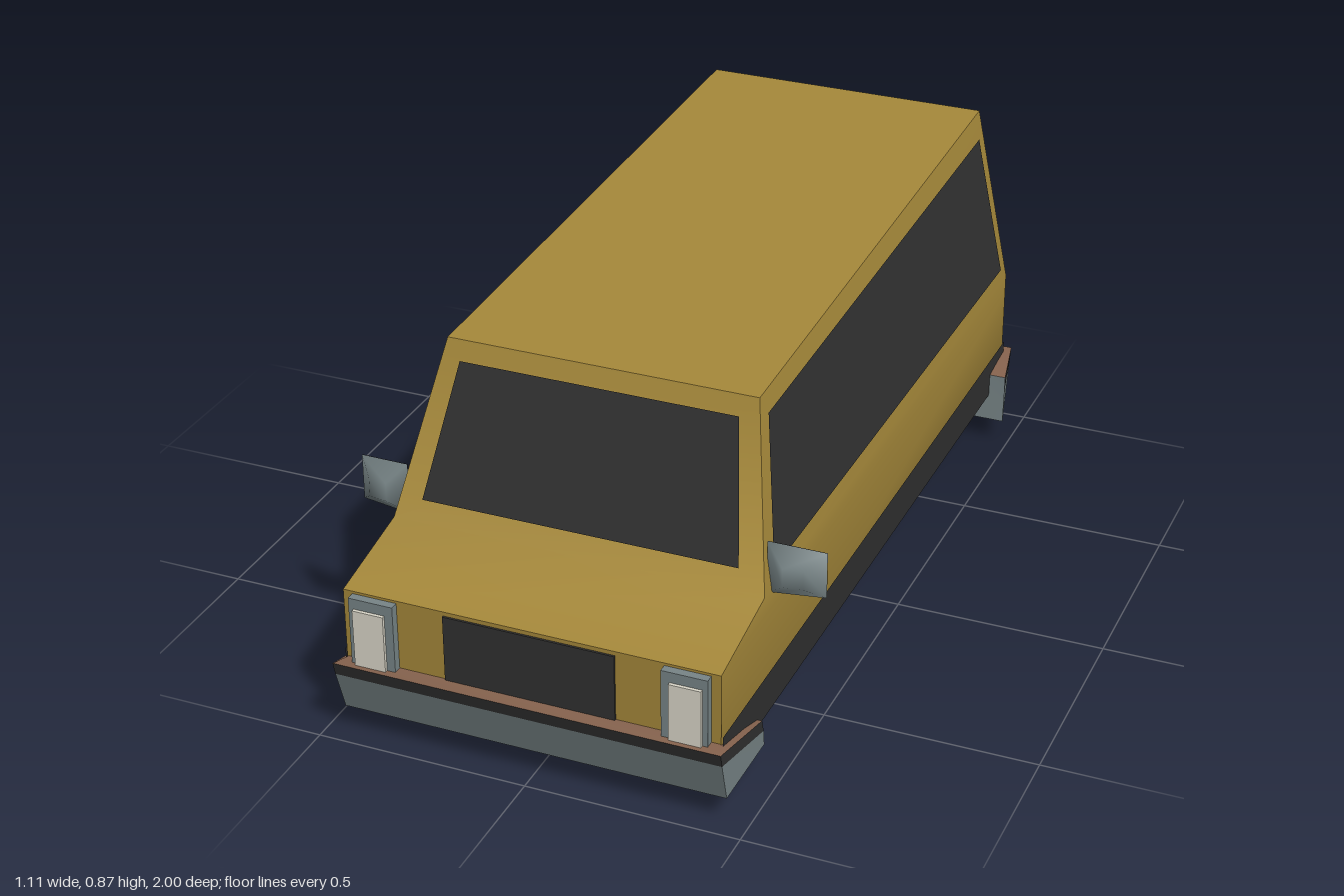
import * as THREE from 'three';
import { toCreasedNormals } from 'three/addons/utils/BufferGeometryUtils.js';

const mat = (name, color, side = THREE.FrontSide) => {
  const m = new THREE.MeshStandardMaterial({ color, side });
  m.name = name;
  return m;
};

// Indexed geometry from points, with creased smooth normals
function build(points, index, crease = 1.05) {
  const g = new THREE.BufferGeometry();
  g.setAttribute('position', new THREE.Float32BufferAttribute(points.flat(), 3));
  g.setIndex(index);
  return toCreasedNormals(g, crease);
}

// Closed loft through four-point rings, stacked bottom to top
function loft(rings) {
  const index = [0, 1, 2, 0, 2, 3];
  for (let r = 0; r < rings.length - 1; r++) {
    for (let i = 0; i < 4; i++) {
      const a = r * 4 + i, b = r * 4 + (i + 1) % 4;
      index.push(b, a, a + 4, b, a + 4, b + 4);
    }
  }
  const t = (rings.length - 1) * 4;
  index.push(t, t + 2, t + 1, t, t + 3, t + 2);
  return build(rings.flat(), index);
}

// Open ribbon between two rows of points
function ribbon(rowA, rowB) {
  const n = rowA.length, index = [];
  for (let i = 0; i < n - 1; i++) index.push(i, n + i, i + 1, i + 1, n + i, n + i + 1);
  return build([...rowA, ...rowB], index, 0.6);
}

export function createModel() {
  const model = new THREE.Group();
  model.name = 'van';
  const paint = mat('ochre paint', 0xa5883a);
  const dark = mat('dark glass and trim', 0x303030, THREE.DoubleSide);
  const grey = mat('blue grey metal', 0x788587, THREE.DoubleSide);
  const cream = mat('cream lens', 0xdad7c9);
  const brown = mat('brown bumper top', 0x86634e, THREE.DoubleSide);

  const add = (name, geometry, material, parent = model) => {
    const m = new THREE.Mesh(geometry, material);
    m.name = name;
    parent.add(m);
    return m;
  };
  const box = (name, material, x0, x1, y0, y1, z0, z1) => {
    const m = add(name, new THREE.BoxGeometry(x1 - x0, y1 - y0, Math.abs(z1 - z0)), material);
    m.position.set((x0 + x1) / 2, (y0 + y1) / 2, (z0 + z1) / 2);
  };
  const panel = (name, corners, material = dark) =>
    add(name, build(corners, [0, 1, 2, 0, 2, 3]), material);

  // Body shell: floor, sill, hood edge, cowl, roof
  const ring = (xf, yf, zf, xr, yr, zr) => [[xf, yf, zf], [-xf, yf, zf], [-xr, yr, zr], [xr, yr, zr]];
  add('body', loft([
    ring(0.36, 0, 0.75, 0.36, 0, -0.86),
    ring(0.44, 0.115, 0.96, 0.44, 0.125, -0.967),
    ring(0.44, 0.37, 0.96, 0.44, 0.37, -0.967),
    ring(0.44, 0.42, 0.72, 0.44, 0.42, -0.967),
    ring(0.366, 0.81, 0.57, 0.355, 0.87, -0.945),
  ]), paint);

  // Glass lies just outside the sloping cabin walls
  const sideX = y => 0.444 - 0.085 * (y - 0.42) / 0.45;
  const frontZ = y => 0.725 - 0.15 * (y - 0.42) / 0.39;
  const rearZ = y => -0.971 + 0.022 * (y - 0.42) / 0.45;
  panel('windshield', [[-0.375, 0.47], [0.375, 0.47], [0.328, 0.768], [-0.328, 0.768]]
    .map(([x, y]) => [x, y, frontZ(y)]));
  panel('rearWindow', [[0.385, 0.46], [-0.385, 0.46], [-0.33, 0.805], [0.33, 0.805]]
    .map(([x, y]) => [x, y, rearZ(y)]));

  for (const s of [1, -1]) {
    const side = s > 0 ? 'left' : 'right';
    const flip = a => (s > 0 ? a : a.reverse());
    panel(side + 'SideWindow', flip([[0.658, 0.457], [-0.925, 0.452], [-0.905, 0.81], [0.55, 0.767]]
      .map(([z, y]) => [s * sideX(y), y, z])));
    panel(side + 'SideStripe', flip([[0.96, 0.118], [-0.967, 0.128], [-0.967, 0.228], [0.96, 0.218]]
      .map(([z, y]) => [s * 0.444, y, z])));

    // Lamps: grey surround with a raised cream lens
    const lamp = (name, xa, xb, ya, yb, za, zb, zc, zd) => {
      const span = (a, b) => (s > 0 ? [a, b] : [-b, -a]);
      box(name + 'Surround', grey, ...span(xa, xb), ya, yb, za, zb);
      box(name + 'Lens', cream, ...span(xa + 0.02, xb - 0.012), ya + 0.02, yb - 0.025, zc, zd);
    };
    lamp(side + 'Headlight', 0.312, 0.418, 0.18, 0.364, 0.94, 0.98, 0.97, 0.988);
    lamp(side + 'RearLight', 0.332, 0.42, 0.2, 0.4, -0.95, -0.985, -0.975, -0.998);

    // Mirror: tapered housing with its dark glass facing back
    const mirror = new THREE.Group();
    mirror.name = side + 'Mirror';
    model.add(mirror);
    const rim = [[0.427, 0.405, 0.672], [0.553, 0.405, 0.648], [0.553, 0.515, 0.648], [0.427, 0.53, 0.672]];
    const nose = [[0.47, 0.44, 0.697], [0.515, 0.44, 0.69], [0.515, 0.485, 0.69], [0.47, 0.485, 0.697]];
    const place = pts => pts.map(([x, y, z]) => [s * x, y, z]);
    const wound = idx => (s > 0 ? idx : idx.reverse());
    const faces = [4, 5, 6, 4, 6, 7];
    for (let i = 0; i < 4; i++) {
      const j = (i + 1) % 4;
      faces.push(i, j, j + 4, i, j + 4, i + 4);
    }
    add(side + 'MirrorHousing', build(place([...rim, ...nose]), wound(faces)), grey, mirror);
    add(side + 'MirrorGlass', build(place(rim.map(([x, y, z]) => [x, y, z - 0.002])),
      wound([0, 2, 1, 0, 3, 2])), dark, mirror);
  }

  box('grille', dark, -0.2, 0.2, 0.17, 0.36, 0.955, 0.965);

  // Wraparound bumper: half rows run from the +x end to the middle
  function bumper(name, halves) {
    const g = new THREE.Group();
    g.name = name;
    model.add(g);
    const rows = halves.map(h => [...h, ...h.slice().reverse().map(([x, y, z]) => [-x, y, z])]);
    const strips = [['Top', brown], ['Rubber', dark], ['Face', grey], ['Underside', grey]];
    strips.forEach(([part, m], i) => add(name + part, ribbon(rows[i], rows[i + 1]), m, g));
    // End caps
    for (const k of [0, rows[0].length - 1])
      add(name + 'End', build(rows.map(r => r[k]), [0, 1, 2, 0, 2, 3, 0, 3, 4]), grey, g);
  }
  bumper('frontBumper', [
    [[0.43, 0.14, 0.765], [0.43, 0.2, 0.945]],
    [[0.455, 0.14, 0.765], [0.455, 0.2, 1]],
    [[0.455, 0.108, 0.755], [0.455, 0.168, 0.992]],
    [[0.453, 0.066, 0.745], [0.453, 0.066, 0.96]],
    [[0.4, 0.066, 0.745], [0.4, 0.066, 0.86]],
  ]);
  bumper('rearBumper', [
    [[0.43, 0.185, -0.855], [0.43, 0.2, -0.95], [0.3, 0.2, -0.95]],
    [[0.485, 0.185, -0.855], [0.457, 0.2, -0.995], [0.3, 0.2, -0.995]],
    [[0.485, 0.15, -0.855], [0.457, 0.165, -0.985], [0.3, 0.165, -0.985]],
    [[0.485, 0.06, -0.85], [0.455, 0.065, -0.948], [0.3, 0.095, -0.96]],
    [[0.4, 0.06, -0.85], [0.4, 0.065, -0.89], [0.3, 0.095, -0.92]],
  ]);

  return model;
}
